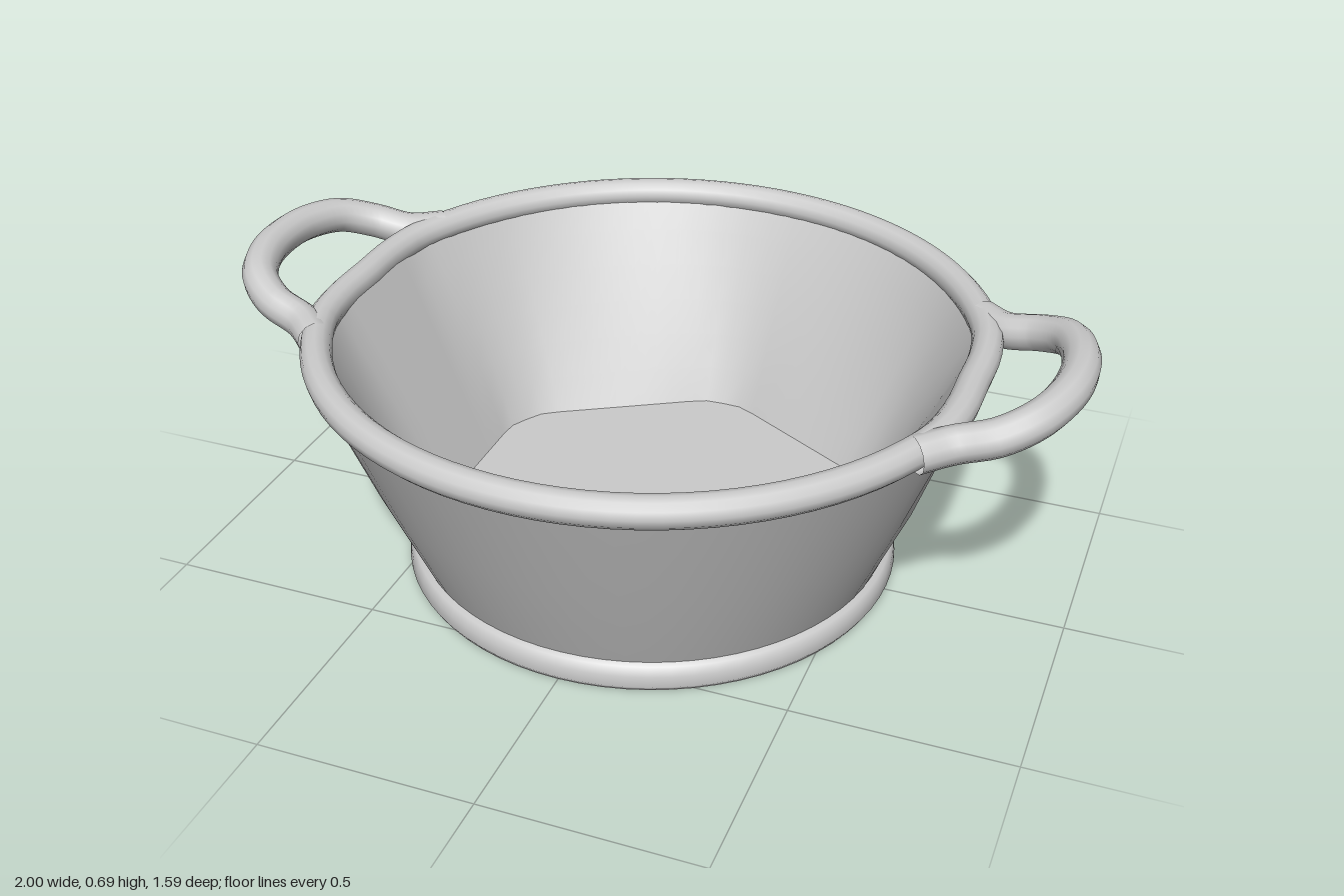
import * as THREE from 'three';

const SEG = 72;
const material = new THREE.MeshStandardMaterial({ color: 0xcccccc, side: THREE.DoubleSide });

// Round outline, slightly flattened on the two handle sides
const flattened = (r, maxX) => (a) => [
  THREE.MathUtils.clamp(r * Math.cos(a), -maxX, maxX), r * Math.sin(a)];
const round = (r) => flattened(r, r);

// Hexagon with clipped corners, pointing to front and back
const hexagon = (flat, corner) => (a) => {
  const third = Math.PI / 3;
  const d = a - Math.round(a / third) * third;
  const r = Math.min(flat / Math.cos(d), corner);
  return [r * Math.cos(a), r * Math.sin(a)];
};

// Skin through a stack of outlines, each given as [height, outline]
function loft(sections) {
  const pos = [], index = [], row = SEG + 1;
  sections.forEach(([y, outline], j) => {
    for (let i = 0; i <= SEG; i++) {
      const [x, z] = outline((i / SEG) * Math.PI * 2);
      pos.push(x, y, z);
      if (j && i) {
        const b = j * row + i, a = b - row;
        index.push(a - 1, b - 1, a, a, b - 1, b);
      }
    }
  });
  const geo = new THREE.BufferGeometry();
  geo.setAttribute('position', new THREE.Float32BufferAttribute(pos, 3));
  geo.setIndex(index);
  geo.computeVertexNormals();
  // Match the normals along the seam
  const n = geo.attributes.normal;
  for (let j = 0; j < sections.length; j++) {
    const a = j * row, b = a + SEG;
    const v = new THREE.Vector3().fromBufferAttribute(n, a)
      .add(new THREE.Vector3().fromBufferAttribute(n, b)).normalize();
    n.setXYZ(a, v.x, v.y, v.z);
    n.setXYZ(b, v.x, v.y, v.z);
  }
  return geo;
}

export function createModel() {
  const model = new THREE.Group();
  const add = (name, geometry) => {
    const mesh = new THREE.Mesh(geometry, material);
    mesh.name = name;
    model.add(mesh);
    return mesh;
  };

  // Flaring outer wall
  add('outerWall', loft([
    [0.05, round(0.555)],
    [0.3, flattened(0.663, 0.652)],
    [0.585, flattened(0.775, 0.75)],
  ]));

  // Inner wall, blending from the hexagonal floor to the round rim
  const floorOutline = hexagon(0.475, 0.52);
  const topOutline = flattened(0.735, 0.71);
  const inner = [];
  for (let k = 0; k <= 6; k++) {
    const t = 1 - k / 6;
    inner.push([0.1 + 0.49 * t, (a) => {
      const p = floorOutline(a), q = topOutline(a);
      return [p[0] + (q[0] - p[0]) * t, p[1] + (q[1] - p[1]) * t];
    }]);
  }
  add('innerWall', loft(inner));

  // Flat hexagonal floor
  add('floor', loft([[0.1, floorOutline], [0.1, round(0)]]));

  // Foot band and flat underside
  add('foot', loft([
    [0.005, round(0.578)], [0.015, round(0.585)], [0.04, round(0.582)],
    [0.062, round(0.574)], [0.07, round(0.55)],
  ]));
  add('underside', loft([[0.003, round(0)], [0.003, round(0.578)]]));

  // Rolled rim
  const rimOutline = flattened(0.757, 0.737);
  const rimPoints = [];
  for (let i = 0; i < 40; i++) {
    const [x, z] = rimOutline((i / 40) * Math.PI * 2);
    rimPoints.push(new THREE.Vector3(x, 0.587, z));
  }
  add('rim', new THREE.TubeGeometry(
    new THREE.CatmullRomCurve3(rimPoints, true), 96, 0.036, 12, true));

  // Looped side handles, rising outwards
  const half = [[0.69, 0.583, 0.32], [0.755, 0.59, 0.265], [0.84, 0.612, 0.24],
    [0.905, 0.637, 0.19], [0.945, 0.65, 0.1]];
  for (const [name, side] of [['leftHandle', 1], ['rightHandle', -1]]) {
    const path = [
      ...half.map(([x, y, z]) => [x, y, z]),
      [0.957, 0.653, 0],
      ...half.map(([x, y, z]) => [x, y, -z]).reverse(),
    ].map(([x, y, z]) => new THREE.Vector3(x * side, y, z));
    add(name, new THREE.TubeGeometry(new THREE.CatmullRomCurve3(path), 48, 0.042, 12));
  }
  return model;
}
